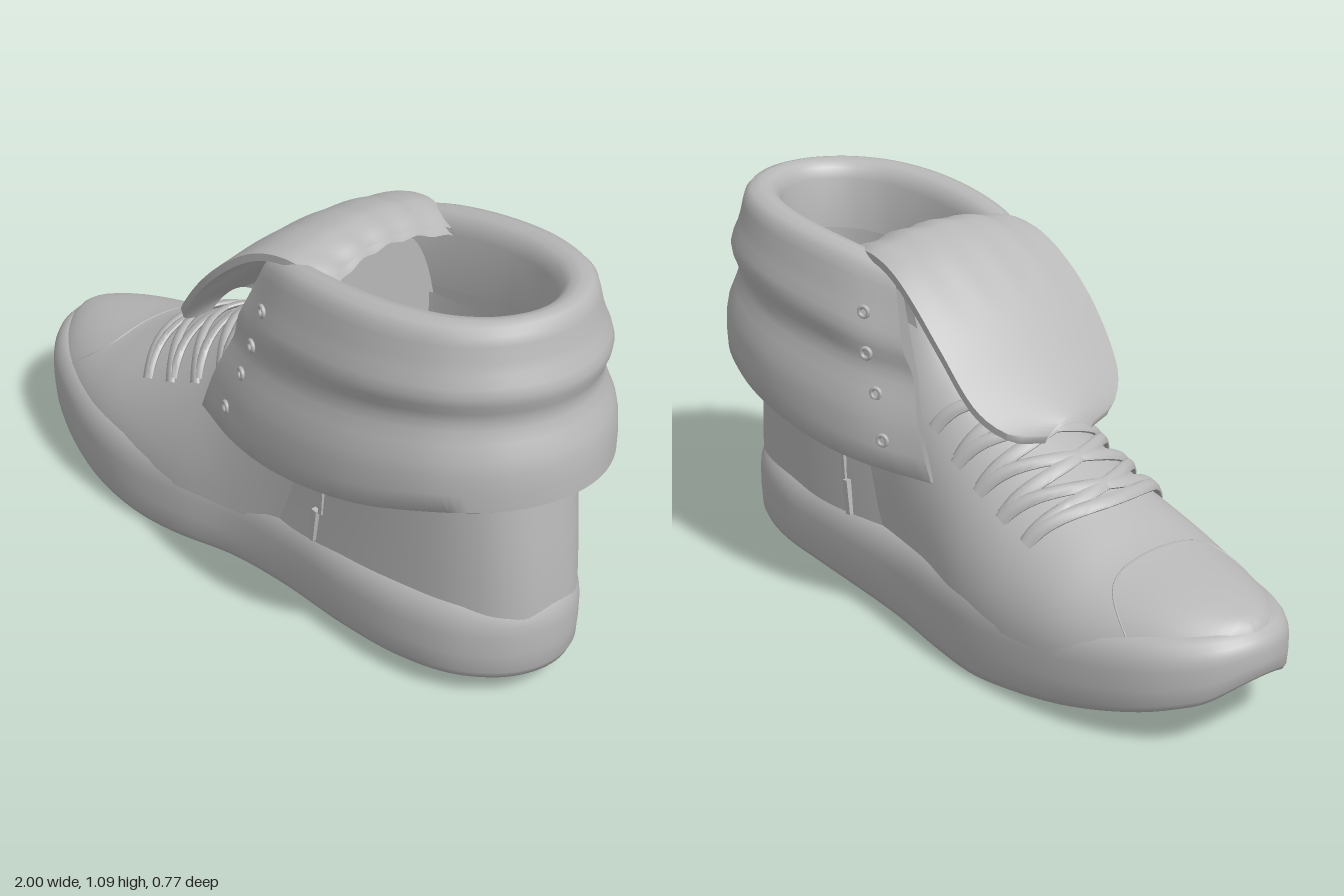
import * as THREE from 'three';
import { toCreasedNormals } from 'three/addons/utils/BufferGeometryUtils.js';

const V = (x, y, z) => new THREE.Vector3(x, y, z);

// Smooth curve through [x, value] pairs
function table(p) {
  const slope = (i) => {
    const a = p[Math.max(i - 1, 0)], b = p[Math.min(i + 1, p.length - 1)];
    return (b[1] - a[1]) / (b[0] - a[0]);
  };
  return (x) => {
    if (x <= p[0][0]) return p[0][1];
    if (x >= p[p.length - 1][0]) return p[p.length - 1][1];
    let i = 0;
    while (x > p[i + 1][0]) i++;
    const h = p[i + 1][0] - p[i][0], t = (x - p[i][0]) / h, u = 1 - t;
    return (1 + 2 * t) * u * u * p[i][1] + t * t * (3 - 2 * t) * p[i + 1][1]
      + h * (t * u * u * slope(i) - t * t * u * slope(i + 1));
  };
}

// Skin over rows of points; closed joins each row's ends
function loft(rows, closed = false, crease = 0.9) {
  const n = rows[0].length, index = [], g = new THREE.BufferGeometry().setFromPoints(rows.flat());
  for (let r = 0; r < rows.length - 1; r++) {
    for (let i = 0; i < (closed ? n : n - 1); i++) {
      const a = r * n + i, b = r * n + (i + 1) % n;
      index.push(a, b, a + n, b, b + n, a + n);
    }
  }
  g.setIndex(index);
  return toCreasedNormals(g, crease);
}

// Upper: top line, half width and squareness along the foot
const BASE = 0.18;
const topLine = table([[-0.985, 0.27], [-0.965, 0.315], [-0.9, 0.345], [-0.8, 0.37], [-0.62, 0.408], [-0.5, 0.455],
  [-0.4, 0.5], [-0.3, 0.548], [-0.1, 0.66], [0.03, 0.775], [0.13, 0.91], [0.28, 1.02]]);
const halfWidth = table([[-0.985, 0.03], [-0.95, 0.115], [-0.9, 0.175], [-0.8, 0.238], [-0.6, 0.303], [-0.4, 0.324],
  [-0.2, 0.312], [0, 0.272], [0.15, 0.249], [0.28, 0.238]]);
const square = table([[-1, 2.2], [-0.6, 2.1], [-0.35, 1.9], [-0.1, 2.05], [0.28, 3]]);
const upperY = (x, z) => {
  const p = square(x), k = Math.min(Math.abs(z) / halfWidth(x), 1);
  return BASE + (topLine(x) - BASE) * (1 - k ** p) ** (1 / p);
};

// U-shaped plan around the heel: front ends at xf, back at xb, half width w
const planCurve = new THREE.CatmullRomCurve3(
  [[0, 0.76], [0.2, 0.93], [0.42, 1], [0.6, 0.98], [0.78, 0.85], [0.9, 0.63], [0.975, 0.33], [1, 0],
    [0.975, -0.33], [0.9, -0.63], [0.78, -0.85], [0.6, -0.98], [0.42, -1], [0.2, -0.93], [0, -0.76]]
    .map(([x, z]) => V(x, 0, z)));
const plan = planCurve.getPoints(84);
const uRow = (xf, xb, w, yAt, full = 1) => plan.map((p) => {
  const x = xf + (xb - xf) * p.x;
  return V(x, yAt(x), w * Math.sign(p.z) * Math.abs(p.z) ** full);
});

export function createModel() {
  const group = new THREE.Group();
  group.name = 'highTopShoe';
  const grey = new THREE.MeshStandardMaterial({ color: 0xb8b8b8, side: THREE.DoubleSide });
  grey.name = 'grey';
  const add = (name, geometry) => {
    const mesh = new THREE.Mesh(geometry, grey);
    mesh.name = name;
    group.add(mesh);
    return mesh;
  };

  // Sole with a raised toe, a rounded heel and a waist on the inner side
  const outline = new THREE.CatmullRomCurve3(
    [[-1, 0], [-0.97, 0.11], [-0.9, 0.19], [-0.8, 0.25], [-0.6, 0.32], [-0.4, 0.34], [-0.2, 0.315], [0, 0.27],
      [0.2, 0.262], [0.45, 0.275], [0.65, 0.265], [0.8, 0.222], [0.9, 0.145], [0.943, 0.07], [0.955, 0],
      [0.943, -0.07], [0.9, -0.14], [0.8, -0.212], [0.65, -0.255], [0.45, -0.268], [0.1, -0.283], [-0.1, -0.31],
      [-0.3, -0.328], [-0.6, -0.305], [-0.8, -0.25], [-0.9, -0.19], [-0.97, -0.11]].map(([x, z]) => V(x, 0, z)), true)
    .getPoints(140).slice(0, -1);
  const inward = outline.map((p, i) => {
    const t = outline[(i + 1) % 140].clone().sub(outline[(i + 139) % 140]).normalize();
    return V(t.z, 0, -t.x);
  });
  const soleBottom = table([[-1, 0.18], [-0.95, 0.135], [-0.9, 0.115], [-0.8, 0.085], [-0.6, 0.04], [-0.4, 0.012],
    [-0.25, 0], [0, 0.01], [0.4, 0.035], [0.95, 0.065]]);
  const soleTop = table([[-1, 0.31], [-0.85, 0.292], [-0.6, 0.272], [-0.2, 0.262], [0.5, 0.27], [0.95, 0.295]]);
  const soleRows = [[0.028, 0, 0], [0.028, 0, 1], [0.012, 0.03, 1], [0.003, 0.12, 1], [0, 0.35, 1], [0, 0.6, 1],
    [0.003, 0.72, 1], [0.011, 0.83, 1], [0.025, 0.93, 1], [0.045, 1, 1], [0.045, 1, 0]];
  add('sole', loft(soleRows.map(([inset, v, flat]) => outline.map((p, i) => {
    const q = p.clone().addScaledVector(inward[i], inset), b = soleBottom(p.x);
    return V(q.x, b + (soleTop(p.x) - b) * v, q.z * flat);
  })), true));

  // Forefoot and instep, closed inside the ankle opening
  const upperRows = [];
  for (let i = 0; i <= 64; i++) {
    const x = -0.985 + 1.265 * (i / 64) ** 1.15, e = 2 / square(x);
    upperRows.push(Array.from({ length: 41 }, (_, k) => {
      const a = Math.PI * k / 40, c = Math.cos(a);
      return V(x, BASE + (topLine(x) - BASE) * Math.abs(Math.sin(a)) ** e,
        halfWidth(x) * Math.sign(c) * Math.abs(c) ** e);
    }));
  }
  upperRows.push(upperRows[64].map((p) => V(p.x, p.y, 0)));
  add('forefoot', loft(upperRows));

  // Heel and ankle wall
  const wall = [[0.2, -0.16, 0.943, 0.252], [0.3, -0.08, 0.938, 0.249], [0.45, 0.03, 0.923, 0.245],
    [0.6, 0.1, 0.902, 0.243], [0.75, 0.15, 0.885, 0.24], [0.9, 0.2, 0.87, 0.238]];
  add('heelWall', loft(wall.map(([y, xf, xb, w]) => uRow(xf, xb, w, () => y, 0.75))));

  // Padded cuff: lining, hem, wavy outside, rolled rim
  const hem = table([[-0.08, 0.478], [0.1, 0.485], [0.3, 0.5], [0.6, 0.555], [0.8, 0.605], [1, 0.63]]);
  const rim = table([[0.1, 0.99], [0.3, 1.035], [0.6, 1.07], [0.9, 1.09]]);
  const cuffRows = [[0.9, 0.295, 0.89], [0.5, 0.325, 0.935], [0.25, 0.36, 0.97], [0.02, 0.37, 0.986],
    [0, 0.376, 0.993], [0.01, 0.382, 1], [0.12, 0.384, 0.998], [0.22, 0.381, 0.993], [0.3, 0.375, 0.983],
    [0.38, 0.361, 0.966], [0.45, 0.349, 0.953], [0.5, 0.343, 0.95], [0.55, 0.346, 0.955], [0.6, 0.354, 0.963],
    [0.65, 0.357, 0.965], [0.7, 0.352, 0.957], [0.76, 0.341, 0.943], [0.82, 0.332, 0.933], [0.9, 0.322, 0.924],
    [0.95, 0.314, 0.917], [0.985, 0.298, 0.904], [1, 0.27, 0.88], [0.99, 0.243, 0.857], [0.96, 0.225, 0.84],
    [0.9, 0.213, 0.83], [0.6, 0.208, 0.825]];
  add('cuff', loft(cuffRows.map(([r, w, xb], i) => uRow(
    -0.08 + 0.21 * r + (i > 21 ? (i - 21) * 0.02 : 0), xb, w, (x) => hem(x) + (rim(x) - hem(x)) * r))));

  // Inside wall and insole
  add('lining', loft([[0.8, 0.208], [0.3, 0.208], [0.3, 0]].map(([y, w]) => uRow(0.2, 0.825, w, () => y, 0.8))));

  // Folded-over tongue
  const tongueY = table([[-0.29, 0.655], [-0.2, 0.757], [-0.1, 0.877], [0, 0.971], [0.1, 1.036], [0.2, 1.062],
    [0.27, 1.054], [0.33, 1.035]]);
  const tongueW = table([[-0.295, 0.08], [-0.28, 0.15], [-0.25, 0.21], [-0.2, 0.25], [-0.1, 0.268], [0, 0.268],
    [0.15, 0.255], [0.25, 0.24], [0.33, 0.205]]);
  const tongueRows = [];
  for (let i = 0; i <= 40; i++) {
    const x = -0.295 + 0.63 * i / 40, w = tongueW(x), ripple = 0.004 * Math.max(0, x + 0.1) / 0.4;
    const side = (drop) => Array.from({ length: 31 }, (_, k) => {
      const t = k / 15 - 1;
      return V(x + drop * 0.5 - 0.03 * (i / 40) ** 8 * (1 - t * t),
        tongueY(x) - 0.036 * t * t - drop + ripple * Math.sin(t * 14 + x * 6), t * w);
    });
    tongueRows.push([...side(0), ...side(0.018).reverse()]);
  }
  add('tongue', loft(tongueRows, true));

  // Flat laces: one straight bar, then crossing pairs that share eyelets
  const lace = (x0, lean, reach) => add('lace', loft(Array.from({ length: 33 }, (_, k) => {
    const t = k / 16 - 1, z = t * reach, x = x0 + lean * t + 0.09 * t * t;
    const y = upperY(x, z) + 0.024 * (1 - t ** 8);
    return Array.from({ length: 10 }, (_, j) => {
      const a = j * Math.PI / 5, c = 0.018 * Math.cos(a);
      return V(x + c, y + 0.45 * c + 0.009 * Math.sin(a), z + 0.009 * t * Math.sin(a));
    });
  }), true));
  lace(-0.475, 0, 0.235);
  for (let i = 0; i < 4; i++) {
    for (const s of [-1, 1]) lace(-0.426 + i * 0.098, 0.049 * s, 0.232 - i * 0.008);
  }

  // Toe cap seam
  const seam = Array.from({ length: 25 }, (_, k) => {
    const t = k / 12 - 1, z = 0.23 * t, x = -0.63 - 0.12 * Math.abs(t) ** 7;
    return V(x, upperY(x, z) - 0.001, z);
  });
  add('toeSeam', new THREE.TubeGeometry(new THREE.CatmullRomCurve3(seam), 60, 0.003, 6));

  for (const s of [-1, 1]) {
    // Eyelets on the cuff
    for (const [x, y, z] of [[0.18, 0.885, 0.299], [0.155, 0.78, 0.314], [0.115, 0.68, 0.315], [0.07, 0.565, 0.331]]) {
      const ring = add('eyelet', new THREE.TorusGeometry(0.014, 0.006, 8, 20));
      ring.position.set(x, y, s * z);
      ring.rotation.y = -0.35 * s;
    }
    // Side strap
    const strap = add('sideStrap', new THREE.BoxGeometry(0.012, 0.17, 0.012));
    strap.position.set(0.352, 0.42, s * 0.248);
    strap.rotation.z = -0.06;
    const end = add('strapEnd', new THREE.BoxGeometry(0.018, 0.1, 0.018));
    end.position.set(0.327, 0.295, s * 0.253);
    end.rotation.z = -0.12;
  }
  return group;
}
